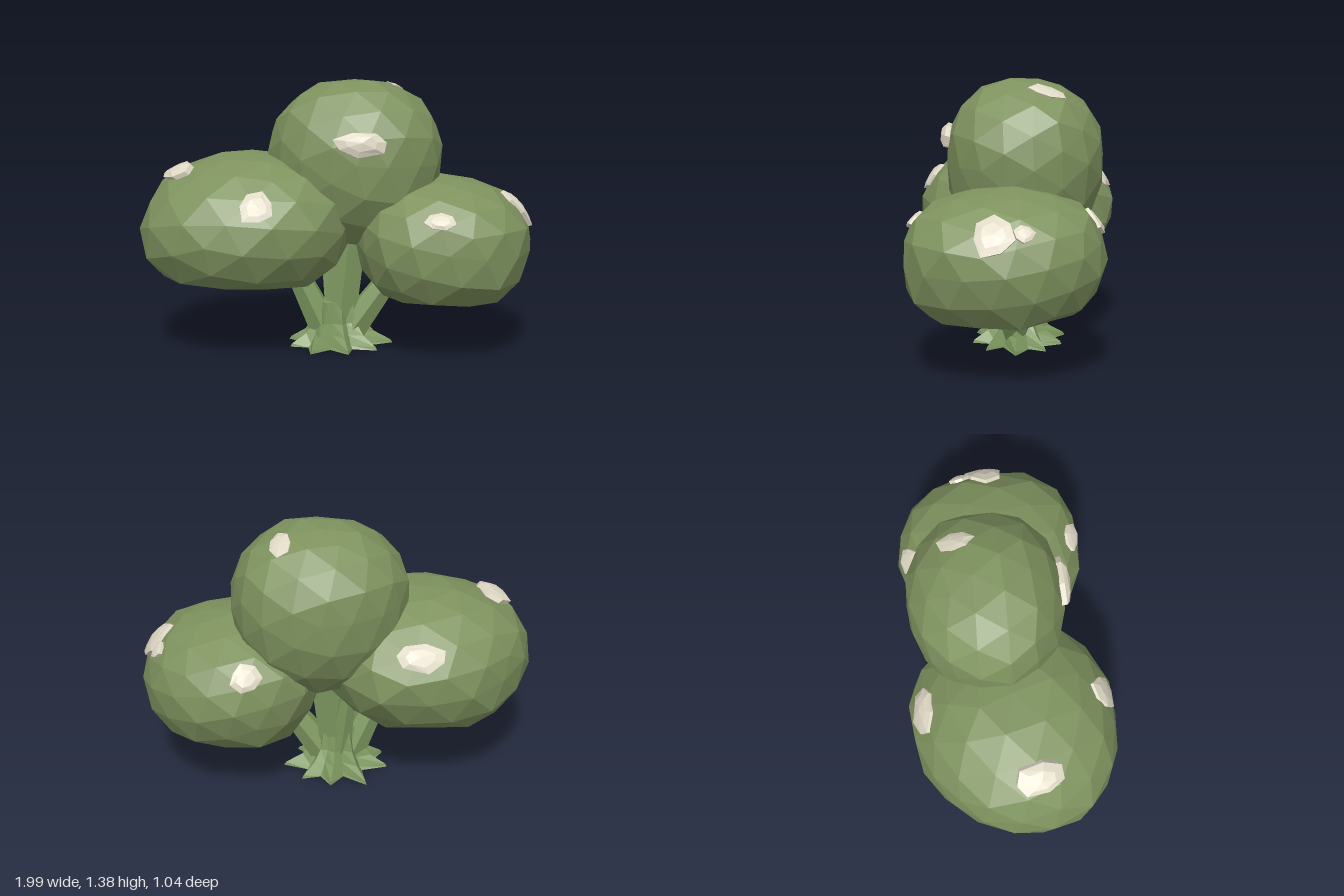
import * as THREE from 'three';

const leafGreen = new THREE.MeshStandardMaterial({ name: 'leafGreen', color: 0x7e925e, flatShading: true });
const stemGreen = new THREE.MeshStandardMaterial({ name: 'stemGreen', color: 0x7e9860, flatShading: true });
const paleLichen = new THREE.MeshStandardMaterial({ name: 'paleLichen', color: 0xdfd8c5, flatShading: true, side: THREE.DoubleSide });

// repeatable wobble in -1..1 that is equal for equal positions
function wobble(x, y, z, seed) {
  const s = Math.sin(Math.round(x * 500) * 0.127 + Math.round(y * 500) * 0.311 + Math.round(z * 500) * 0.747 + seed * 7.3) * 4375.85;
  return (s - Math.floor(s)) * 2 - 1;
}

// faceted, slightly boxy cushion with a flattened, gently hollow underside;
// each bulge [x, y, z, amount] swells or dents the side facing that way
function crown(name, { centre, rx, up, down, rz, power, floor, slope, seed, bulges }) {
  const geo = new THREE.IcosahedronGeometry(1, 2);
  geo.rotateY(seed * 0.7);
  geo.rotateZ(seed * 0.4);
  const pos = geo.attributes.position;
  for (let i = 0; i < pos.count; i++) {
    const x = pos.getX(i), y = pos.getY(i), z = pos.getZ(i);
    let k = Math.pow(Math.abs(x) ** power + Math.abs(y) ** power + Math.abs(z) ** power, -1 / power);
    k *= 1 + 0.024 * wobble(x, y, z, seed);
    bulges.forEach(([bx, by, bz, amount]) => {
      const facing = (x * bx + y * by + z * bz) / Math.hypot(bx, by, bz);
      k *= 1 + amount * Math.max(0, facing) ** 4;
    });
    const px = x * k * rx;
    const bottom = floor + slope * px + 0.03 * Math.max(0, 1 - (x * x + z * z) * 2);
    const py = Math.max(centre[1] + y * k * (y > 0 ? up : down), bottom);
    pos.setXYZ(i, centre[0] + px, py, centre[2] + z * k * rz);
  }
  geo.computeVertexNormals();
  const mesh = new THREE.Mesh(geo, leafGreen);
  mesh.name = name;
  return mesh;
}

// irregular crust laid over a crown: rings of points cast on to its surface
function lichen(name, target, centre, at, width, height, seed, lift = 0.02) {
  const c = new THREE.Vector3(...centre), p = new THREE.Vector3(...at);
  const out = p.clone().sub(c).normalize();
  const guide = Math.abs(out.y) > 0.8 ? new THREE.Vector3(0, 0, -1) : new THREE.Vector3(0, 1, 0);
  const side = guide.clone().cross(out).normalize();
  const rise = out.clone().cross(side);
  const ray = new THREE.Raycaster();
  const land = (u, v, h) => {
    const from = p.clone().addScaledVector(side, u).addScaledVector(rise, v).addScaledVector(out, 0.6);
    ray.set(from, out.clone().negate());
    const hit = ray.intersectObject(target)[0];
    return (hit ? hit.point : from.addScaledVector(out, -0.6)).clone().addScaledVector(out, h);
  };
  const n = 7, rings = [[0.6, lift * 1.1], [1, lift * 0.8], [0.97, -0.01]];
  const points = [land(0, 0, lift * 1.2)], index = [];
  rings.forEach(([r, h]) => {
    for (let i = 0; i < n; i++) {
      const a = i / n * Math.PI * 2 + seed;
      const q = r * (1 + 0.2 * wobble(i, 0, 0, seed));
      points.push(land(Math.cos(a) * width / 2 * q, Math.sin(a) * height / 2 * q, h));
    }
  });
  for (let i = 0; i < n; i++) {
    const j = (i + 1) % n;
    index.push(0, 1 + i, 1 + j);
    for (let k = 0; k < rings.length - 1; k++) {
      const a = 1 + k * n, b = a + n;
      index.push(a + i, b + i, b + j, a + i, b + j, a + j);
    }
  }
  const geo = new THREE.BufferGeometry().setFromPoints(points);
  geo.setIndex(index);
  geo.computeVertexNormals();
  const mesh = new THREE.Mesh(geo, paleLichen);
  mesh.name = name;
  return mesh;
}

// star-shaped root flare rising into a narrow stem
function rootFlare() {
  const n = 18;
  // height, tip radius, notch radius
  const rings = [[0.005, 0.265, 0.165], [0.022, 0.255, 0.15], [0.07, 0.175, 0.125], [0.13, 0.13, 0.1], [0.24, 0.105, 0.085]];
  const points = [], index = [];
  rings.forEach(([y, tip, notch], k) => {
    for (let i = 0; i < n; i++) {
      const a = i / n * Math.PI * 2 + 0.1 * wobble(i, 0, 0, 3);
      const r = (i % 2 ? notch : tip) * (1 + 0.11 * wobble(i, 0, 0, 5));
      points.push(new THREE.Vector3(Math.cos(a) * r, y, Math.sin(a) * r * 0.97 - 0.035));
      if (k === 0) continue;
      const j = (i + 1) % n, a0 = (k - 1) * n, b0 = k * n;
      index.push(a0 + i, b0 + i, b0 + j, a0 + i, b0 + j, a0 + j);
    }
  });
  // close the underside and the top
  const low = points.length, high = low + 1, top = (rings.length - 1) * n;
  points.push(new THREE.Vector3(0, 0, -0.03), new THREE.Vector3(0, 0.25, -0.03));
  for (let i = 0; i < n; i++) {
    const j = (i + 1) % n;
    index.push(low, i, j, high, top + j, top + i);
  }
  const geo = new THREE.BufferGeometry().setFromPoints(points);
  geo.setIndex(index);
  geo.computeVertexNormals();
  const mesh = new THREE.Mesh(geo, stemGreen);
  mesh.name = 'rootFlare';
  return mesh;
}

// tapered six-sided branch between two points
function branch(name, from, to, r0, r1) {
  const a = new THREE.Vector3(...from), b = new THREE.Vector3(...to);
  const mesh = new THREE.Mesh(new THREE.CylinderGeometry(r1, r0, a.distanceTo(b), 6), stemGreen);
  mesh.position.copy(a).lerp(b, 0.5);
  mesh.quaternion.setFromUnitVectors(new THREE.Vector3(0, 1, 0), b.sub(a).normalize());
  mesh.name = name;
  return mesh;
}

export function createModel() {
  const model = new THREE.Group();
  model.name = 'floretTree';

  // three cushions of foliage
  const rightSpec = {
    centre: [-0.465, 0.665, 0], rx: 0.54, up: 0.365, down: 0.4, rz: 0.515, power: 2.25, floor: 0.365, slope: -0.08, seed: 1,
    bulges: [
      [-0.8, 0, -0.6, -0.1], [-0.75, 0.65, 0, -0.06], [-1, 0, 0.15, 0.06], [1, -0.1, 0, 0.05], [0.55, 0, -0.83, 0.045],
      [0.6, -0.8, 0, -0.05], [-0.55, 0.6, 0.55, -0.06], [0.1, 0.7, 0.7, -0.05], [0, 0.65, -0.75, -0.03], [0.2, -0.2, 0.95, 0.03],
    ],
  };
  const leftSpec = {
    centre: [0.545, 0.57, -0.01], rx: 0.455, up: 0.33, down: 0.4, rz: 0.485, power: 2.3, floor: 0.295, slope: 0.02, seed: 2,
    bulges: [[0.75, 0.65, 0, -0.04], [-0.6, -0.8, 0, -0.07], [0.5, -0.6, -0.6, -0.04]],
  };
  const topSpec = {
    centre: [0.11, 1.0, -0.08], rx: 0.435, up: 0.378, down: 0.48, rz: 0.39, power: 2.25, floor: 0.5, slope: 0, seed: 3,
    bulges: [[-0.75, 0.6, 0, 0.03], [-1, 0, 0.3, 0.05], [0, 0.7, -0.7, -0.02], [0, 0.75, 0.65, 0.01]],
  };
  const rightCrown = crown('rightCrown', rightSpec);
  const leftCrown = crown('leftCrown', leftSpec);
  const topCrown = crown('topCrown', topSpec);
  model.add(rightCrown, leftCrown, topCrown);

  // pale crusts
  const R = [rightCrown, rightSpec.centre], L = [leftCrown, leftSpec.centre], T = [topCrown, topSpec.centre];
  model.add(
    lichen('topFrontLichen', ...T, [0.13, 1.1, 0.31], 0.28, 0.12, 1, 0.035),
    lichen('topUpperLichen', ...T, [0.29, 1.33, -0.2], 0.12, 0.17, 2, 0.008),
    lichen('rightFrontLichen', ...R, [-0.37, 0.81, 0.46], 0.18, 0.17, 3),
    lichen('rightSideLichen', ...R, [-0.78, 0.91, 0.07], 0.26, 0.14, 4, 0.035),
    lichen('rightBackLichen', ...R, [-0.37, 0.83, -0.44], 0.28, 0.14, 5),
    lichen('leftFrontLichen', ...L, [0.51, 0.74, 0.42], 0.15, 0.1, 6),
    lichen('leftSideLichen', ...L, [0.92, 0.74, 0.01], 0.2, 0.2, 7, 0.025),
    lichen('leftSideSmallLichen', ...L, [0.91, 0.75, -0.13], 0.1, 0.09, 9),
    lichen('leftBackLichen', ...L, [0.48, 0.74, -0.44], 0.15, 0.13, 8),
  );

  // stem and branches
  model.add(
    rootFlare(),
    branch('middleBranch', [0.01, 0.1, -0.035], [0.07, 0.62, -0.04], 0.095, 0.1),
    branch('rightBranch', [-0.06, 0.08, -0.03], [-0.24, 0.46, -0.01], 0.085, 0.055),
    branch('leftBranch', [0.07, 0.08, -0.03], [0.32, 0.43, -0.02], 0.085, 0.055),
    branch('backBranch', [0.0, 0.1, -0.07], [-0.05, 0.5, -0.13], 0.065, 0.04),
  );
  return model;
}
